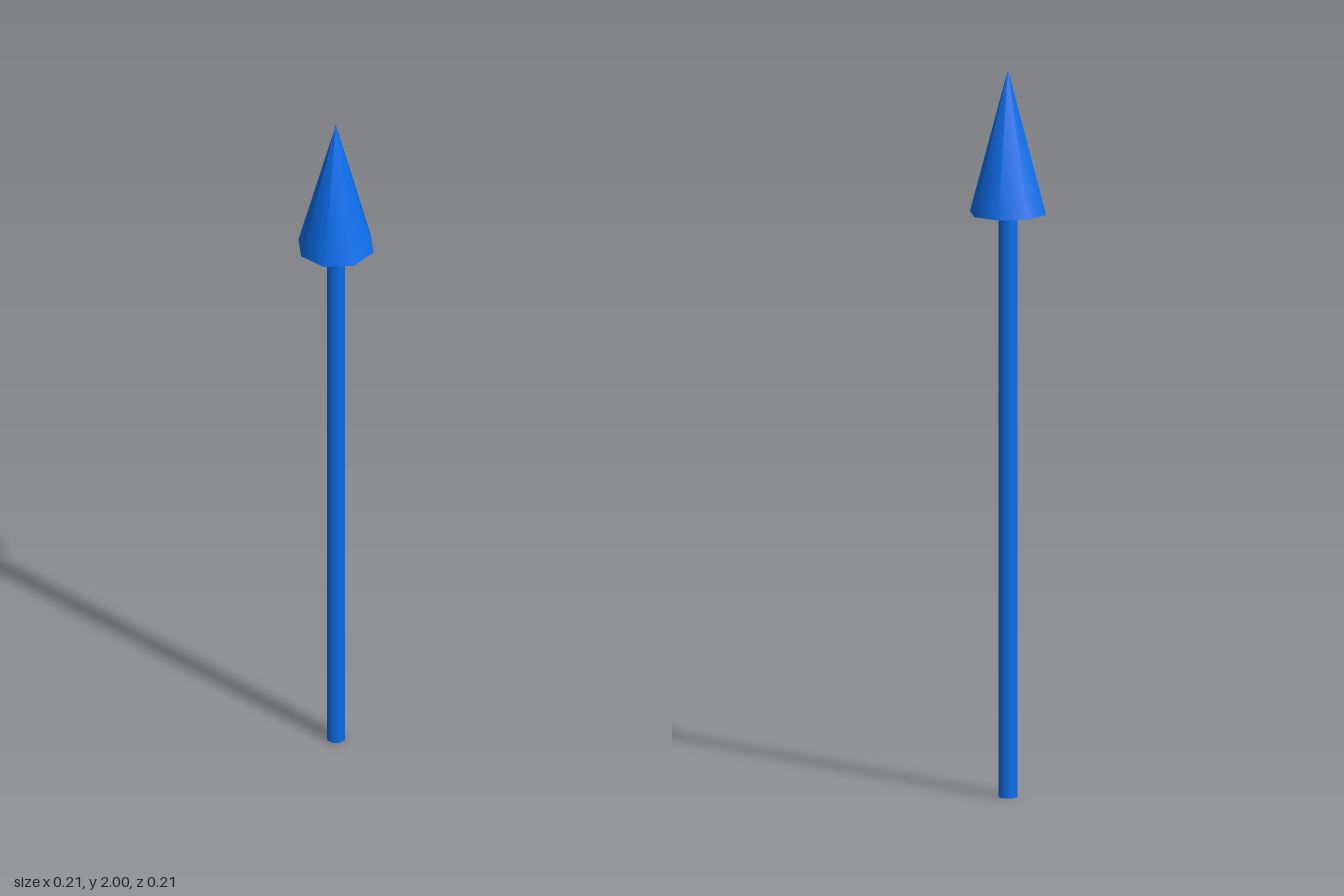
import * as THREE from 'three';

const SIDES = 8;
const SHAFT_TOP = 1.605;
const HEIGHT = 2;

export function createModel() {
  const group = new THREE.Group();
  group.name = 'arrow';
  const blue = new THREE.MeshStandardMaterial({ color: 0x0a70f0 });

  // Upright part between two heights, closed at its ends
  const addPart = (name, topRadius, bottomRadius, y0, y1) => {
    const geometry = new THREE.CylinderGeometry(topRadius, bottomRadius, y1 - y0, SIDES);
    const mesh = new THREE.Mesh(geometry, blue);
    mesh.name = name;
    mesh.position.y = (y0 + y1) / 2;
    group.add(mesh);
  };

  addPart('shaft', 0.026, 0.026, 0, SHAFT_TOP);
  addPart('arrowHead', 0, 0.106, SHAFT_TOP, HEIGHT);

  return group;
}
